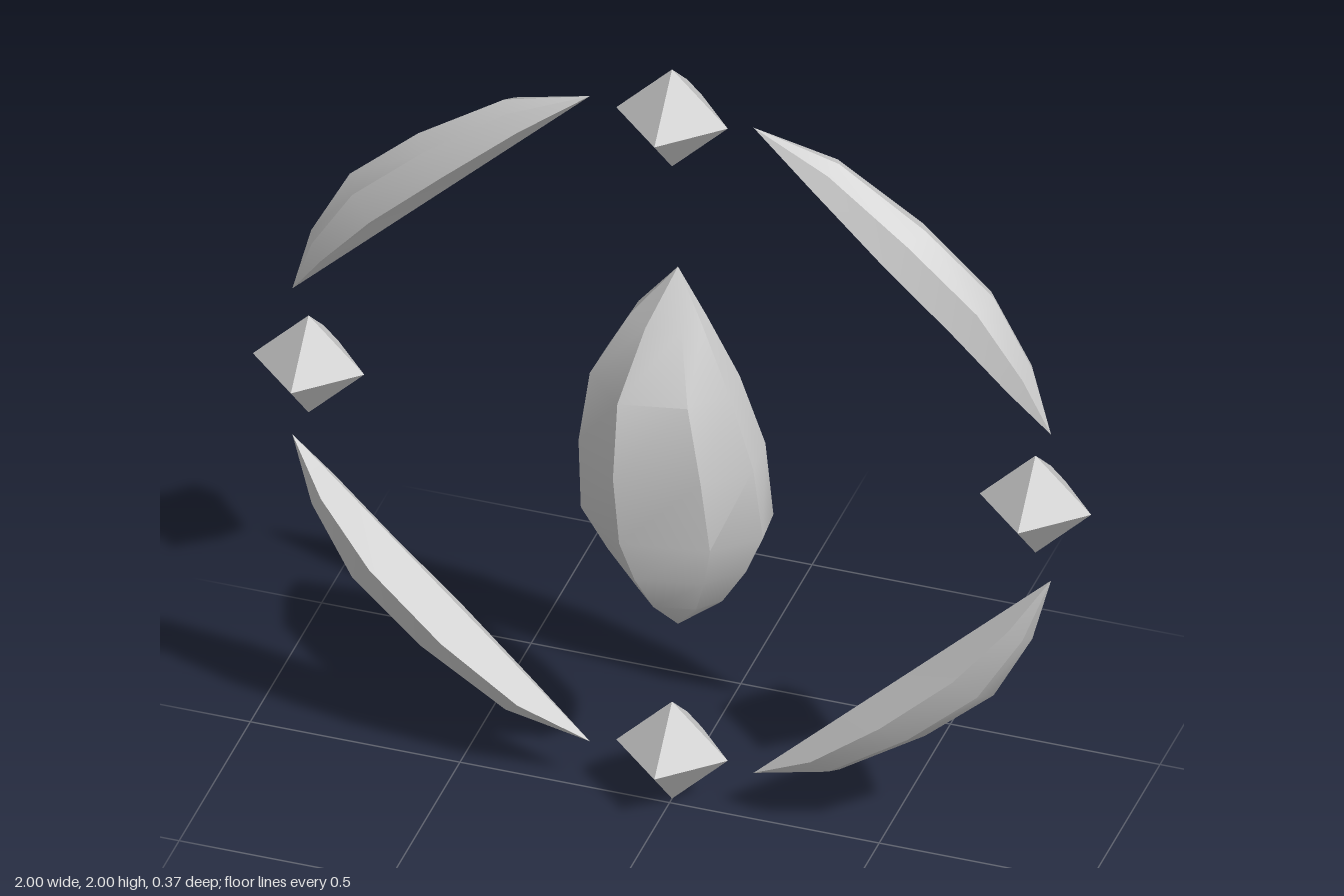
import * as THREE from 'three';
import { toCreasedNormals } from 'three/addons/utils/BufferGeometryUtils.js';

const V = (x, y, z) => new THREE.Vector3(x, y, z);
const lerp = THREE.MathUtils.lerp;

// Skins a list of rings; a ring of one point is a tip.
function loft(rings, crease) {
  const pos = [];
  const tri = (a, b, c) => [a, b, c].forEach((p) => pos.push(p.x, p.y, p.z));
  for (let r = 0; r < rings.length - 1; r++) {
    const lo = rings[r], hi = rings[r + 1];
    const n = Math.max(lo.length, hi.length);
    const at = (ring, i) => ring[i % ring.length];
    for (let i = 0; i < n; i++) {
      if (lo.length > 1) tri(at(lo, i), at(lo, i + 1), at(hi, i + 1));
      if (hi.length > 1) tri(at(lo, i), at(hi, i + 1), at(hi, i));
    }
  }
  const geo = new THREE.BufferGeometry();
  geo.setAttribute('position', new THREE.Float32BufferAttribute(pos, 3));
  geo.computeVertexNormals();
  return toCreasedNormals(geo, crease);
}

// Irregular eight-sided crystal, each ring stretched to its own bounds.
function crystalGeometry() {
  const plan = [[-1, 0.33], [-0.4, 1], [0.55, 0.78], [1, 0.25],
    [0.96, -0.35], [0.35, -1], [-0.55, -0.78], [-0.98, -0.45]];
  // y, left x, right x, back z, front z
  const levels = [
    [0.59, -0.07, 0.13, -0.105, 0.085],
    [0.69, -0.135, 0.19, -0.16, 0.135],
    [0.8, -0.195, 0.235, -0.17, 0.16],
    [0.99, -0.197, 0.215, -0.183, 0.182],
    [1.18, -0.17, 0.16, -0.135, 0.158],
    [1.34, -0.085, 0.085, -0.065, 0.07],
  ];
  const rings = levels.map(([y, x0, x1, z0, z1]) => plan.map(([u, v]) =>
    V(lerp(x0, x1, (u + 1) / 2), y, lerp(z0, z1, (v + 1) / 2))));
  return loft([[V(0.02, 0.495, 0)], ...rings, [V(0.02, 1.475, 0)]], 0.6);
}

// Curved shard: straight inner edge, bowed outer ridge, pointed ends.
function shardGeometry() {
  const a = V(0.905, 0.2, 0), b = V(0.195, 0.885, 0);
  const section = [[0, 0], [0.35, 1], [0.8, 0.65], [1, 0], [0.8, -0.65], [0.35, -1]];
  // position along the inner edge, outer ridge x and y, half thickness
  const stations = [
    [0.15, 0.86, 0.37, 0.05],
    [0.35, 0.768, 0.545, 0.077],
    [0.6, 0.605, 0.692, 0.08],
    [0.82, 0.4, 0.83, 0.055],
  ];
  const rings = stations.map(([t, ox, oy, w]) => {
    const inner = a.clone().lerp(b, t);
    return section.map(([s, k]) => V(lerp(inner.x, ox, s), lerp(inner.y, oy, s), k * w));
  });
  return loft([[a], ...rings, [b]], 0.55);
}

// Octahedron with its rear point cut flat.
function gemGeometry() {
  const diamond = (r, z) => [V(r, 0, z), V(0, r, z), V(-r, 0, z), V(0, -r, z)];
  return loft([[V(0, 0, -0.11)], diamond(0.035, -0.108), diamond(0.133, 0), [V(0, 0, 0.124)]], 0.3);
}

export function createModel() {
  const group = new THREE.Group();
  const material = new THREE.MeshStandardMaterial({ color: 0xcccccc });
  const add = (name, geo, x, y, z) => {
    const mesh = new THREE.Mesh(geo, material);
    mesh.name = name;
    mesh.position.set(x, y, z);
    group.add(mesh);
    return mesh;
  };

  add('centreCrystal', crystalGeometry(), 0, 0, 0);

  // Four gems at the compass points of the ring
  const gem = gemGeometry();
  add('topGem', gem, 0, 1.867, -0.017);
  add('bottomGem', gem, 0, 0.133, -0.017);
  add('leftGem', gem, 0.867, 1, -0.017);
  add('rightGem', gem, -0.867, 1, -0.017);

  // Four shards, half-turned into each quadrant
  const shard = shardGeometry();
  add('upperLeftShard', shard, 0, 1, -0.015);
  add('upperRightShard', shard, 0, 1, -0.015).rotation.y = Math.PI;
  add('lowerLeftShard', shard, 0, 1, -0.015).rotation.x = Math.PI;
  add('lowerRightShard', shard, 0, 1, -0.015).rotation.z = Math.PI;

  return group;
}
